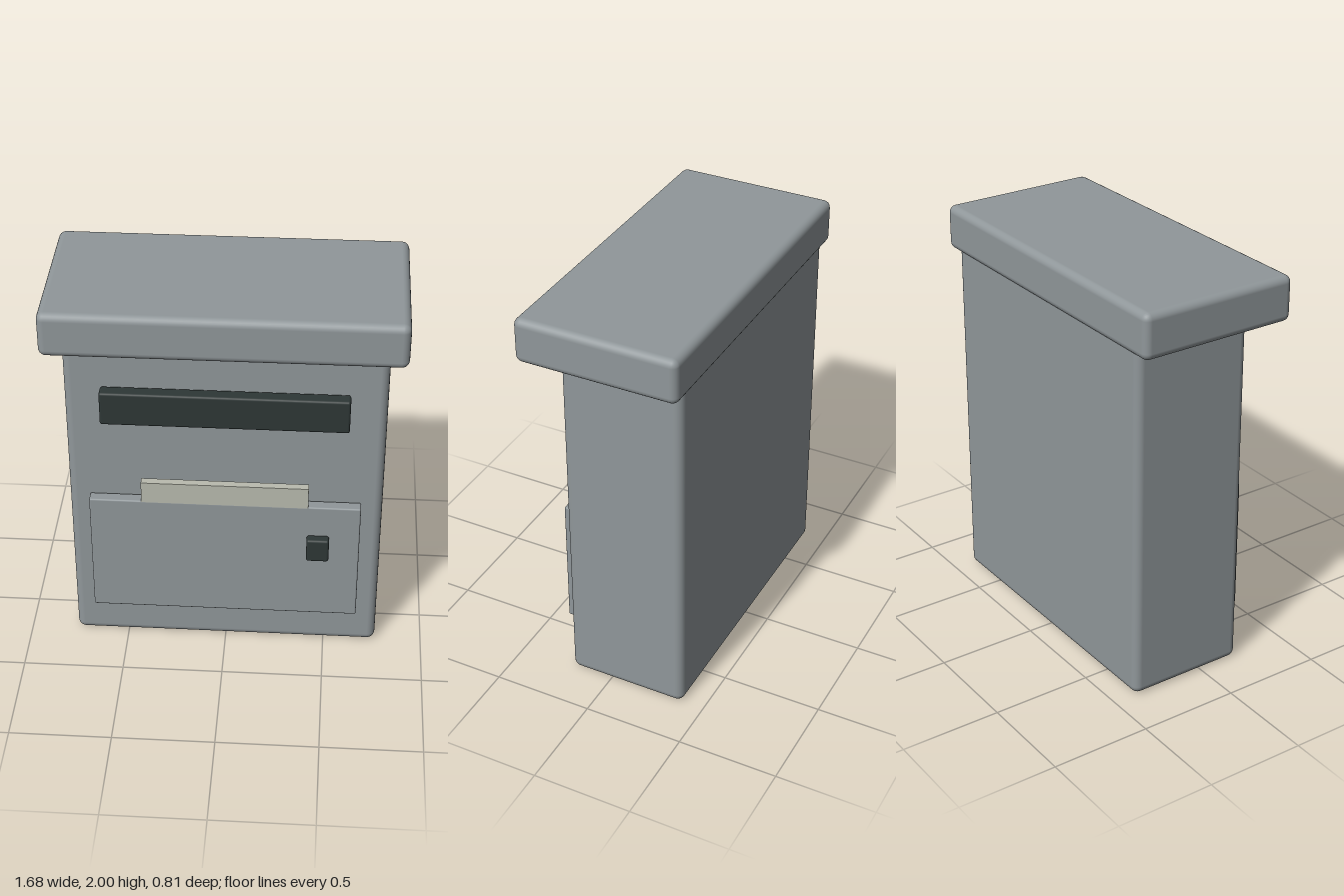
import * as THREE from 'three';
import { RoundedBoxGeometry } from 'three/addons/geometries/RoundedBoxGeometry.js';

const grey = new THREE.MeshStandardMaterial({ color: 0x90979a });
grey.name = 'grey metal';
const dark = new THREE.MeshStandardMaterial({ color: 0x2e3736 });
dark.name = 'dark trim';
const cream = new THREE.MeshStandardMaterial({ color: 0xb9bbaf });
cream.name = 'cream paper';

// Box given by its [min, max] on each axis, with rounded edges when radius > 0
function box(name, material, [x0, x1], [y0, y1], [z0, z1], radius = 0) {
  const size = [x1 - x0, y1 - y0, z1 - z0];
  const geometry = radius > 0
    ? new RoundedBoxGeometry(...size, 3, radius)
    : new THREE.BoxGeometry(...size);
  const mesh = new THREE.Mesh(geometry, material);
  mesh.name = name;
  mesh.position.set((x0 + x1) / 2, (y0 + y1) / 2, (z0 + z1) / 2);
  return mesh;
}

export function createModel() {
  const mailbox = new THREE.Group();
  mailbox.name = 'mailbox';
  mailbox.add(
    // Main case and overhanging lid
    box('body', grey, [-0.764, 0.764], [0, 1.82], [-0.392, 0.216], 0.04),
    box('lid', grey, [-0.84, 0.84], [1.776, 2], [-0.405, 0.405], 0.036),
    // Letter slot
    box('letterSlot', dark, [-0.588, 0.588], [1.344, 1.52], [0.228, 0.298], 0.012),
    // Collection door with its latch
    box('door', grey, [-0.66, 0.66], [0.232, 0.894], [0.228, 0.287], 0.008),
    box('latch', dark, [0.402, 0.512], [0.602, 0.73], [0.286, 0.338], 0.012),
    // Letter sticking out above the door
    box('letter', cream, [-0.405, 0.405], [0.82, 1.004], [0.247, 0.2865])
  );
  return mailbox;
}
